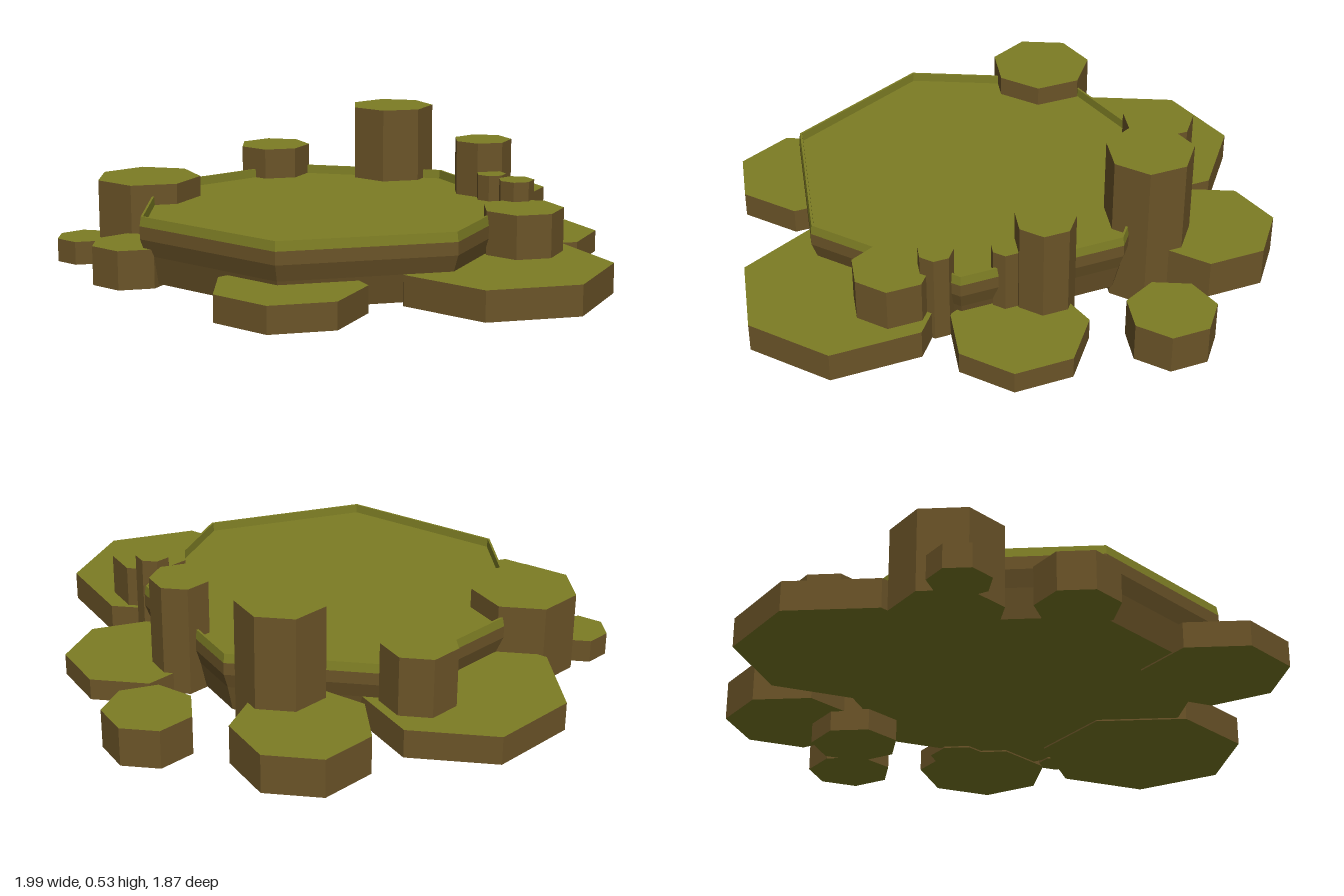
import * as THREE from 'three';

export function createModel() {
  const group = new THREE.Group();
  const green = new THREE.MeshStandardMaterial({ color: 0x7d7d24, flatShading: true });
  green.name = 'moss green';
  const brown = new THREE.MeshStandardMaterial({ color: 0x6b5428, flatShading: true });
  brown.name = 'earth brown';

  // Seven-sided pillar with brown walls and green ends, one corner pointing back
  function pillar(name, x, z, radius, bottom, top) {
    const geometry = new THREE.CylinderGeometry(radius, radius, top - bottom, 7, 1, false, Math.PI);
    const mesh = new THREE.Mesh(geometry, [brown, green, green]);
    mesh.name = name;
    mesh.position.set(x, (top + bottom) / 2, z);
    group.add(mesh);
  }

  // Central plateau: underside, undercut wall, and shallow rimmed top
  const plateau = new THREE.Group();
  plateau.name = 'plateau';
  plateau.position.set(-0.035, 0, 0.155);
  function ring(name, material, profile) {
    const points = profile.map(([r, y]) => new THREE.Vector2(r, y));
    const mesh = new THREE.Mesh(new THREE.LatheGeometry(points, 7, Math.PI), material);
    mesh.name = name;
    plateau.add(mesh);
  }
  ring('plateauUnderside', green, [[0, 0.075], [0.62, 0.075]]);
  ring('plateauWall', brown, [[0.62, 0.075], [0.645, 0.17], [0.665, 0.225], [0.665, 0.268]]);
  ring('plateauTop', green, [[0.665, 0.268], [0.66, 0.3], [0.652, 0.3], [0.65, 0.27], [0, 0.27]]);
  group.add(plateau);

  // Low slabs around the plateau: x, z, radius, bottom, top
  [
    ['leftSlab', 0.65, 0.11, 0.355, 0.07, 0.17],
    ['rightSlab', -0.65, -0.05, 0.355, 0.07, 0.17],
    ['frontSlab', 0.27, 0.714, 0.245, 0.07, 0.158],
    ['backLeftSlab', 0.4, -0.435, 0.231, 0.07, 0.145],
    ['backRightSlab', -0.395, -0.592, 0.228, 0.07, 0.205],
    ['backStone', 0.057, -0.785, 0.15, 0.07, 0.205],
    ['frontRightStone', -0.41, 0.707, 0.135, 0.065, 0.195],
    ['outerRightStone', -0.778, 0.57, 0.1, 0.06, 0.14],
  ].forEach((slab) => pillar(...slab));

  // Taller columns
  [
    ['tallColumn', -0.225, -0.455, 0.15, 0, 0.53],
    ['rightColumn', -0.588, -0.212, 0.128, 0.07, 0.378],
    ['frontRightColumn', -0.645, 0.391, 0.181, 0.063, 0.34],
    ['backLeftColumn', 0.225, -0.39, 0.102, 0.07, 0.458],
    ['smallColumn', 0.32, -0.308, 0.052, 0.07, 0.358],
    ['thinLeftColumn', 0.51, -0.175, 0.06, 0.07, 0.38],
    ['leftColumn', 0.605, -0.07, 0.135, 0.07, 0.315],
  ].forEach((column) => pillar(...column));

  return group;
}
